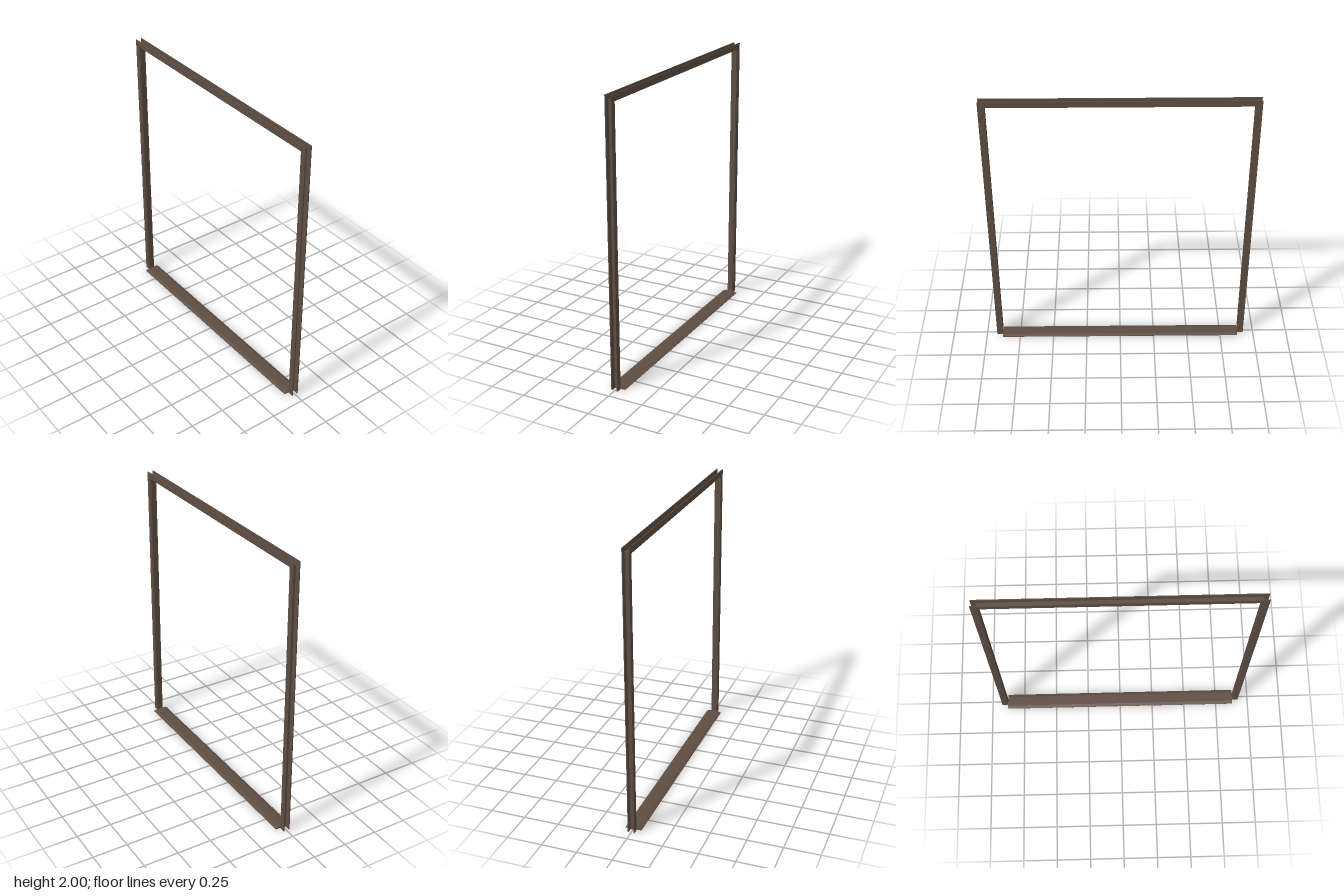
import * as THREE from 'three';

export function createModel() {
  const model = new THREE.Group();
  model.name = 'doorFrame';
  const brown = new THREE.MeshStandardMaterial({ color: 0x5e4e43 });
  brown.name = 'dark brown';

  const add = (name, geometry, x = 0, y = 0, z = 0) => {
    const mesh = new THREE.Mesh(geometry, brown);
    mesh.name = name;
    mesh.position.set(x, y, z);
    model.add(mesh);
  };

  // U-shaped arch standing on the floor, extruded along z
  const arch = (outerX, outerY, innerX, innerY, depth) => {
    const shape = new THREE.Shape([
      [-outerX, 0], [-innerX, 0], [-innerX, innerY], [innerX, innerY],
      [innerX, 0], [outerX, 0], [outerX, outerY], [-outerX, outerY],
    ].map(([x, y]) => new THREE.Vector2(x, y)));
    return new THREE.ExtrudeGeometry(shape, { depth, bevelEnabled: false })
      .translate(0, 0, -depth / 2);
  };

  // Thin lining between the two casings
  add('jambLining', arch(0.888, 1.964, 0.88, 1.955, 0.042));

  // Flat casings on the front and back
  for (const [name, side] of [['frontCasing', 1], ['backCasing', -1]]) {
    add(name, arch(0.925, 2, 0.887, 1.96, 0.006), 0, 0, side * 0.021);
  }

  // Low threshold with sloped front and back edges
  const profile = new THREE.Shape([
    [-0.057, 0], [0.057, 0], [0.057, 0.002], [0.035, 0.01], [-0.035, 0.01], [-0.057, 0.002],
  ].map(([z, y]) => new THREE.Vector2(z, y)));
  const threshold = new THREE.ExtrudeGeometry(profile, { depth: 1.76, bevelEnabled: false });
  threshold.translate(0, 0, -0.88).rotateY(Math.PI / 2);
  add('threshold', threshold);

  return model;
}
